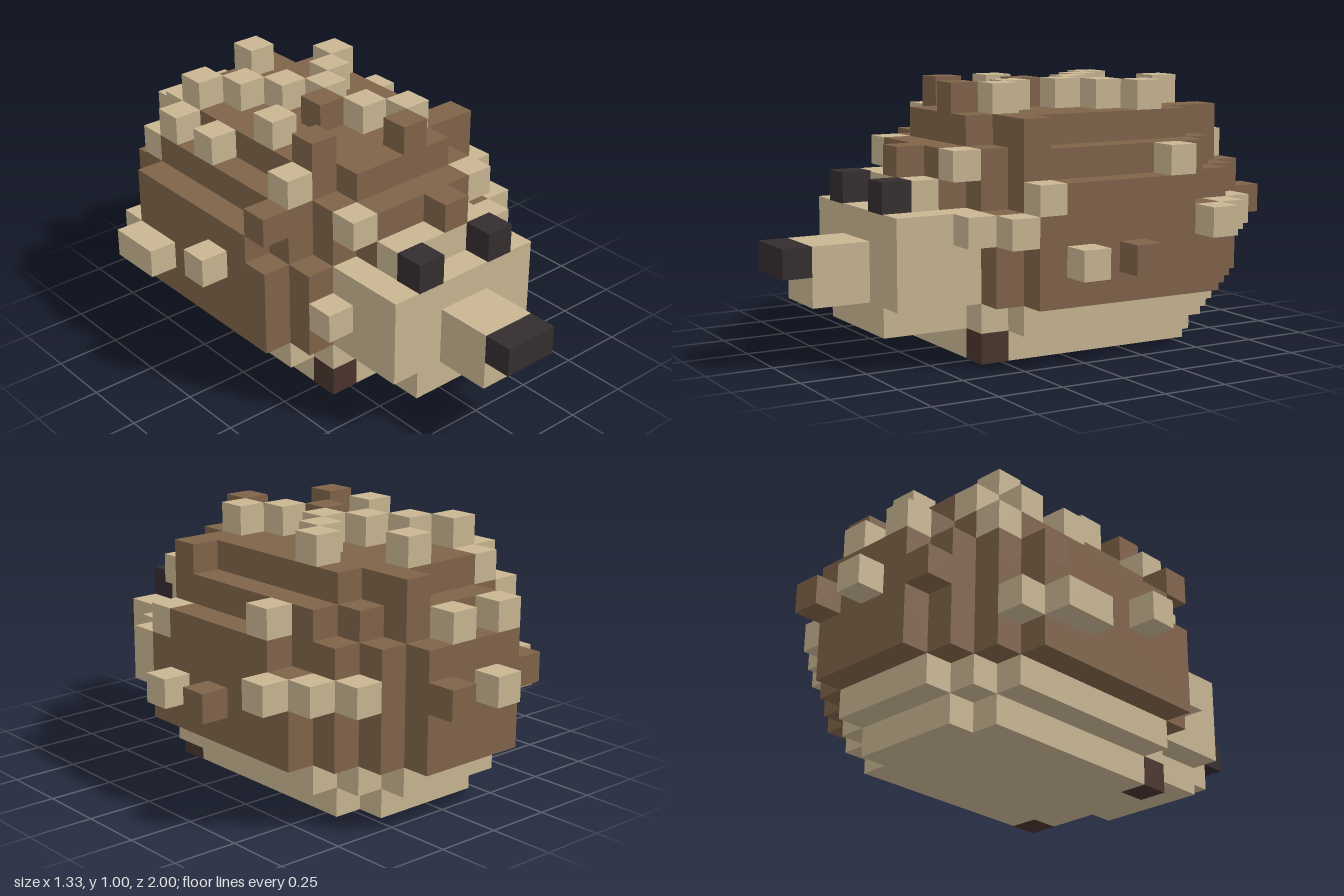
import * as THREE from 'three';

const U = 1 / 9; // edge of one block

const mat = (name, color) => {
  const m = new THREE.MeshStandardMaterial({ color });
  m.name = name;
  return m;
};

export function createModel() {
  const group = new THREE.Group();
  const tan = mat('tan', 0xc8b592);
  const brown = mat('brown', 0x80634a);
  const black = mat('black', 0x352d2f);
  const foot = mat('dark brown', 0x4a342c);

  // box between two block corners
  function box(name, m, [x0, y0, z0], [x1, y1, z1], grow = 0) {
    const g = new THREE.BoxGeometry((x1 - x0) * U + grow, (y1 - y0) * U + grow, (z1 - z0) * U + grow);
    g.translate((x0 + x1) / 2 * U, (y0 + y1) / 2 * U, (z0 + z1) / 2 * U);
    const mesh = new THREE.Mesh(g, m);
    mesh.name = name;
    group.add(mesh);
  }

  // mirrored slab with stepped corners; steps are [halfWidth, back, front], narrow to wide
  function slab(name, m, y0, y1, steps) {
    const right = [];
    steps.forEach(([w, , f], i) => {
      if (i) right.push([steps[i - 1][0], f]);
      right.push([w, f]);
    });
    for (let i = steps.length - 1; i >= 0; i--) {
      right.push([steps[i][0], steps[i][1]]);
      if (i) right.push([steps[i - 1][0], steps[i][1]]);
    }
    const left = right.map(([x, z]) => [-x, z]).reverse();
    const shape = new THREE.Shape([...right, ...left].map(([x, z]) => new THREE.Vector2(x * U, -z * U)));
    const g = new THREE.ExtrudeGeometry(shape, { depth: (y1 - y0) * U, bevelEnabled: false });
    g.rotateX(-Math.PI / 2);
    g.translate(0, y0 * U, 0);
    const mesh = new THREE.Mesh(g, m);
    mesh.name = name;
    group.add(mesh);
  }

  // belly
  slab('bellyBase', tan, 0, 1, [[2, -6, 3], [3, -5, 2]]);
  slab('belly', tan, 1, 2, [[2, -7, 6], [3, -6, 3], [4, -5, 2]]);

  // spiny coat, in layers
  slab('coatLower', brown, 2, 5, [[2, -8, 3], [3, -7, 3], [4, -6, 3], [5, -5, 2]]);
  slab('coatMiddle', brown, 5, 6, [[2, -8, 4], [3, -7, 3], [4, -6, 2], [5, -4, 1]]);
  slab('coatUpper', brown, 6, 7, [[2, -7, 4], [3, -6, 3], [4, -5, 2]]);
  slab('coatTop', brown, 7, 8, [[2, -6, 3], [3, -5, 2]]);

  // head
  box('head', tan, [-3, 2, 3], [3, 5, 6]);
  box('brow', tan, [-2, 5, 4], [2, 6, 5]);
  box('snout', tan, [-1, 2, 6], [1, 4, 8]);
  box('nose', black, [-1, 3, 8], [1, 4, 9]);
  for (const x of [-2, 1]) box('eye', black, [x, 5, 5], [x + 1, 6, 6], 0.004);
  for (const x of [-3, 2]) box('foot', foot, [x, 0, 2], [x + 1, 1, 3], 0.002);

  // spines, one block each
  const tanSpines = [
    // top
    [1, 8, 1], [0, 8, 0], [-3, 8, -1], [0, 8, -2], [1, 8, -3], [-1, 8, -3],
    [2, 8, -4], [-2, 8, -4], [-3, 8, -5], [0, 8, -6],
    // shoulders
    [-4, 7, 1], [-4, 7, -3], [-4, 7, -5], [-3, 7, -6], [-4, 6, -6],
    // front
    [-3, 6, 3], [2, 6, 3], [-4, 3, 3], [3, 4, 3],
    // left side
    [4, 4, 2], [4, 5, 1], [5, 3, 0], [4, 6, -4], [5, 4, -5], [4, 4, -6], [3, 4, -7],
    // right side
    [-6, 4, -1], [-6, 3, -4], [-6, 3, -5], [-5, 3, -6],
    // back
    [-2, 6, -8], [0, 6, -8], [-1, 4, -9],
  ];
  const brownSpines = [
    [0, 8, 2], [-3, 8, 1], [-1, 8, -1], [0, 6, 4], [3, 7, 1], [-5, 6, 1],
    [-5, 5, -5], [5, 3, -2], [1, 7, -7], [-3, 4, -8], [1, 4, -9],
  ];
  for (const [list, m] of [[tanSpines, tan], [brownSpines, brown]])
    for (const [x, y, z] of list) box('spine', m, [x, y, z], [x + 1, y + 1, z + 1]);

  return group;
}
